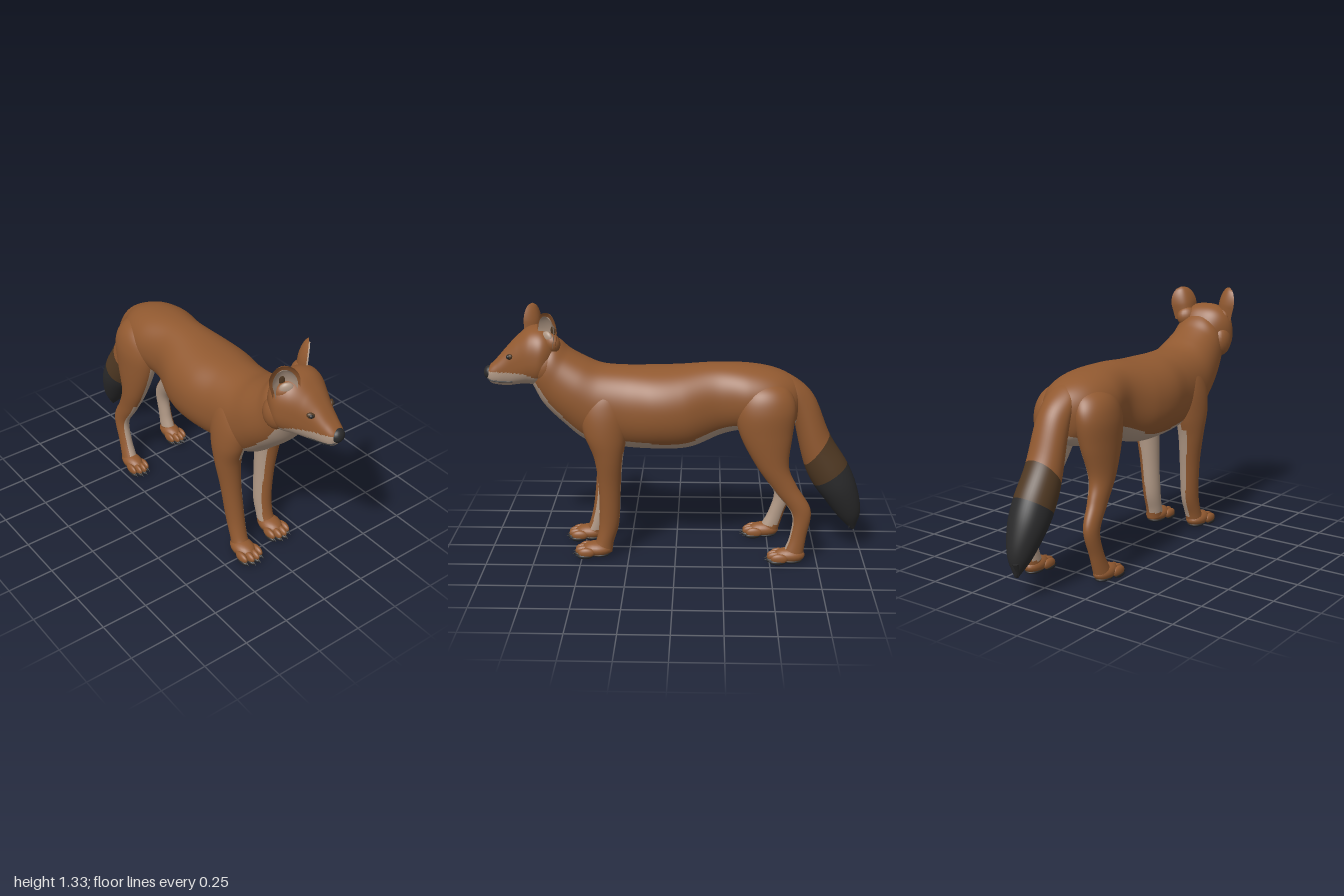
import * as THREE from 'three';

const mat = (name, color, extra = {}) => {
  const m = new THREE.MeshStandardMaterial({ color, ...extra });
  m.name = name;
  return m;
};

// Smooth surface through stations [x, zA, yA, zB, yB, halfWidth]; A and B are opposite profile points
function surface(stations, power = 1) {
  const curve = f => new THREE.CatmullRomCurve3(stations.map(f), false, 'catmullrom', 0.5);
  const a = curve(s => new THREE.Vector3(s[0], s[2], s[1]));
  const b = curve(s => new THREE.Vector3(s[0], s[4], s[3]));
  const w = curve(s => new THREE.Vector3(s[5], 0, 0));
  const soft = v => Math.sign(v) * Math.abs(v) ** power;
  return (u, angle, size = 1) => {
    const pa = a.getPoint(u), pb = b.getPoint(u);
    const p = pa.clone().add(pb).multiplyScalar(0.5);
    p.addScaledVector(pa.sub(pb), 0.5 * size * soft(Math.sin(angle)));
    p.x += size * w.getPoint(u).x * soft(Math.cos(angle));
    return p;
  };
}

// Closed loft; paint(point, cos, sin, u) picks the material index of each patch
function loft(name, stations, materials, paint, power = 1, seg = 48, steps = 8) {
  const at = surface(stations, power), rows = (stations.length - 1) * steps;
  const pos = [], faces = materials.map(() => []);
  for (let i = -1; i <= rows + 1; i++) {
    const u = Math.min(Math.max(i / rows, 0), 1), size = i < 0 || i > rows ? 0.001 : 1;
    for (let j = 0; j < seg; j++) pos.push(...at(u, j / seg * Math.PI * 2, size).toArray());
  }
  for (let i = 0; i < rows + 2; i++) {
    const u = Math.min(Math.max((i - 0.5) / rows, 0), 1);
    for (let j = 0; j < seg; j++) {
      const k = (j + 1) % seg, t = (j + 0.5) / seg * Math.PI * 2;
      const a = i * seg + j, b = i * seg + k, c = b + seg, d = a + seg;
      faces[paint(at(u, t), Math.cos(t), Math.sin(t), u)].push(a, b, c, a, c, d);
    }
  }
  const g = new THREE.BufferGeometry();
  g.setAttribute('position', new THREE.Float32BufferAttribute(pos, 3));
  g.setIndex(faces.flat());
  let start = 0;
  faces.forEach((f, i) => { g.addGroup(start, f.length, i); start += f.length; });
  g.computeVertexNormals();
  const m = new THREE.Mesh(g, materials);
  m.name = name;
  return m;
}

function blob(name, material, [x, y, z], [sx, sy, sz]) {
  const m = new THREE.Mesh(new THREE.SphereGeometry(1, 20, 14), material);
  m.name = name;
  m.position.set(x, y, z);
  m.scale.set(sx, sy, sz);
  return m;
}

export function createModel() {
  const rust = mat('rust fur', 0x915930), cream = mat('cream fur', 0xb09885);
  const brown = mat('dark brown fur', 0x503923), black = mat('black fur', 0x2a2a2b);
  const rustThin = mat('ear fur', 0x915930, { side: THREE.DoubleSide });
  const creamThin = mat('inner ear fur', 0xb09885, { side: THREE.DoubleSide });
  const model = new THREE.Group();
  model.name = 'wildDog';

  // Torso and neck, with pale belly, chest and throat
  model.add(loft('torso', [
    [0, -.68, .90, -.64, .74, .03], [0, -.62, .97, -.60, .71, .11], [0, -.52, 1.02, -.52, .68, .17],
    [0, -.38, 1.045, -.38, .70, .185], [0, -.20, 1.05, -.25, .675, .165], [0, -.02, 1.035, -.08, .605, .212],
    [0, .12, 1.03, .08, .593, .222], [0, .25, 1.03, .28, .60, .195], [0, .38, 1.04, .46, .63, .185],
    [0, .47, 1.075, .59, .73, .175], [0, .55, 1.12, .69, .83, .155], [0, .60, 1.165, .74, .92, .14],
    [0, .66, 1.205, .77, .97, .10]
  ], [rust, cream], (p, c, s, u) => s < -.68 + .1 * Math.max(0, u - .6) + .03 * Math.sin(u * 24) ? 1 : 0,
  .92, 96, 10));

  // Bushy tail with a dark band and black tip
  const tail = [
    [0, -.50, 1.02, -.50, .86, .07], [0, -.61, .98, -.60, .86, .085], [0, -.72, .88, -.63, .70, .09],
    [0, -.81, .67, -.68, .50, .098], [0, -.91, .51, -.735, .385, .103], [0, -.965, .38, -.79, .31, .095],
    [0, -.992, .24, -.875, .20, .058], [0, -.967, .13, -.95, .125, .008]
  ].reverse();
  model.add(loft('tail', tail, [rust, brown, black], (p, c, s, u) => u < 3 / 7 ? 2 : u < 4 / 7 ? 1 : 0));
  for (const x of [-.016, 0, .016]) {
    const tuft = new THREE.Mesh(new THREE.ConeGeometry(.018, .08, 8), black);
    tuft.name = 'tailTuft';
    tuft.position.set(x, .185 - Math.abs(x), -.955 + x * .8);
    tuft.rotation.x = Math.PI - .25;
    model.add(tuft);
  }

  // Paw: instep, four toes with claws, dark soles
  function paw(name, x, z, width) {
    const g = new THREE.Group();
    g.name = name;
    g.position.set(x, 0, z);
    g.add(blob('instep', rust, [0, .048, .03], [width * .92, .04, .082]));
    g.add(blob('solePad', black, [0, .02, .02], [width * .78, .015, .06]));
    [-1.5, -.5, .5, 1.5].forEach(i => {
      const tx = i * width * .53, tz = .112 - Math.abs(i) * .018;
      g.add(blob('toe', rust, [tx, .04, tz], [width * .3, .027, .045]));
      g.add(blob('toePad', black, [tx, .02, tz + .009], [width * .29, .015, .04]));
      const claw = new THREE.Mesh(new THREE.ConeGeometry(.009, .04, 8), black);
      claw.name = 'claw';
      claw.position.set(tx, .026, tz + .046);
      claw.rotation.x = 1.95;
      g.add(claw);
    });
    return g;
  }

  // Legs; the right pair stands further forward
  const front = [
    [.05, .40, 1.0, .32, 1.0, .04], [.095, .455, .92, .27, .92, .072], [.117, .495, .82, .24, .82, .085],
    [.135, .475, .70, .255, .68, .079], [.137, .425, .57, .275, .56, .067], [.124, .405, .40, .288, .40, .054],
    [.112, .405, .22, .30, .20, .048], [.112, .42, .11, .33, .09, .045], [.115, .45, .05, .34, .03, .046]
  ];
  const hind = [
    [.05, -.42, 1.0, -.52, .99, .05], [.095, -.34, .93, -.59, .93, .09], [.122, -.31, .83, -.62, .84, .097],
    [.136, -.335, .70, -.605, .70, .083], [.15, -.42, .54, -.59, .54, .06], [.158, -.52, .40, -.635, .43, .044],
    [.168, -.61, .28, -.71, .30, .036], [.172, -.605, .16, -.69, .15, .034], [.175, -.57, .06, -.675, .04, .04]
  ];
  for (const side of [1, -1]) {
    const label = side > 0 ? 'left' : 'right';
    const pose = (list, step) => list.map(([x, za, ya, zb, yb, w]) => {
      const shift = y => side > 0 ? 0 : step * Math.max(0, 1 - y / .75);
      return [x * side, za + shift(ya), ya, zb + shift(yb), yb, w];
    });
    model.add(loft(label + 'FrontLeg', pose(front, .07), [rust, cream], (p, c, s) => {
      if (p.y > .60) return p.y < .72 && Math.abs(p.x) < .13 ? 1 : 0;
      return p.y > .07 && -c * side - .5 * s > .42 - .5 * Math.max(0, p.y - .1) ? 1 : 0;
    }, 1, 64, 8));
    model.add(loft(label + 'HindLeg', pose(hind, .12), [rust, cream],
      (p, c, s) => p.y < .78 && p.y > .08 && -c * side + (p.y < .45 ? .7 : .3) * s > .2 ? 1 : 0, 1, 64, 8));
    model.add(paw(label + 'FrontPaw', .117 * side, side > 0 ? .39 : .45, .062));
    model.add(paw(label + 'HindPaw', .175 * side, side > 0 ? -.635 : -.515, .053));
  }

  // Head, turned slightly to its left about the skull
  const head = new THREE.Group(), yaw = .16;
  head.name = 'head';
  head.rotation.y = yaw;
  head.position.set(-.012 - .7 * Math.sin(yaw), 0, .7 - .7 * Math.cos(yaw));
  model.add(head);
  const skull = [
    [0, .58, 1.08, .66, .95, .07], [0, .63, 1.195, .70, .93, .135], [0, .69, 1.236, .74, .935, .158],
    [0, .76, 1.232, .79, .94, .138], [0, .825, 1.185, .84, .935, .103], [0, .88, 1.13, .88, .93, .076],
    [0, .93, 1.075, .93, .935, .06], [0, .972, 1.035, .965, .945, .046], [0, .992, 1.01, .985, .965, .025]
  ];
  head.add(loft('skull', skull, [rust, cream],
    p => p.z > .69 && p.y < 1.012 - Math.max(0, .8 - p.z) * .3 ? 1 : 0, .82, 96, 10));
  head.add(blob('nose', black, [0, 1.0, .972], [.039, .037, .031]));

  const face = surface(skull, .82);
  for (const side of [1, -1]) {
    const angle = t => side > 0 ? t : Math.PI - t;
    // Cheek ruff
    head.add(blob('cheek', rust, [side * .105, 1.04, .685], [.055, .085, .07]));

    // Mouth line following the muzzle
    const lip = [];
    for (let i = 0; i <= 8; i++) lip.push(face((7.8 - i * .42) / 8, angle(-.4 - i * .045)));
    const mouth = new THREE.Mesh(
      new THREE.TubeGeometry(new THREE.CatmullRomCurve3(lip), 32, .0045, 6), black);
    mouth.name = 'mouthLine';
    head.add(mouth);

    // Eye in a brown lid
    const e = face(4.75 / 8, angle(.5));
    const lid = blob('eyelid', brown, e.toArray(), [.021, .015, .012]);
    const eye = blob('eye', black, [e.x + side * .003, e.y, e.z + .005], [.012, .011, .011]);
    lid.rotation.set(0, side * .7, side * .3);
    head.add(lid, eye);

    // Cupped ear: rust shell and smaller pale lining
    const ear = new THREE.Group();
    ear.name = side > 0 ? 'leftEar' : 'rightEar';
    ear.position.set(side * .102, 1.15, .71 - side * .035);
    ear.rotation.set(-.05, side * .68, -side * .2, 'ZYX');
    const shell = (name, material, size, lift) => {
      const g = new THREE.PlaneGeometry(2, 1, 16, 20), p = g.attributes.position;
      for (let i = 0; i < p.count; i++) {
        const u = p.getX(i), v = p.getY(i) + .5;
        const half = v > .45 ? Math.sqrt(Math.max(0, 1 - ((v - .45) / .55) ** 2)) : .88 + .12 * v / .45;
        p.setXYZ(i, u * half * .073 * size, .01 + v * .175 * (size + 1) / 2,
          lift - .05 * (1 - u * u) * half * (1 - .35 * v));
      }
      g.computeVertexNormals();
      const m = new THREE.Mesh(g, material);
      m.name = name;
      ear.add(m);
    };
    shell('earShell', rustThin, 1, 0);
    shell('earLining', creamThin, .8, .008);
    ear.add(blob('earRoot', rust, [0, .015, -.025], [.06, .055, .042]));
    ear.add(blob('earTuft', cream, [-side * .005, .045, -.008], [.036, .035, .018]));
    ear.add(blob('earHollow', brown, [side * .012, .085, -.031], [.018, .026, .006]));
    head.add(ear);
  }
  return model;
}
